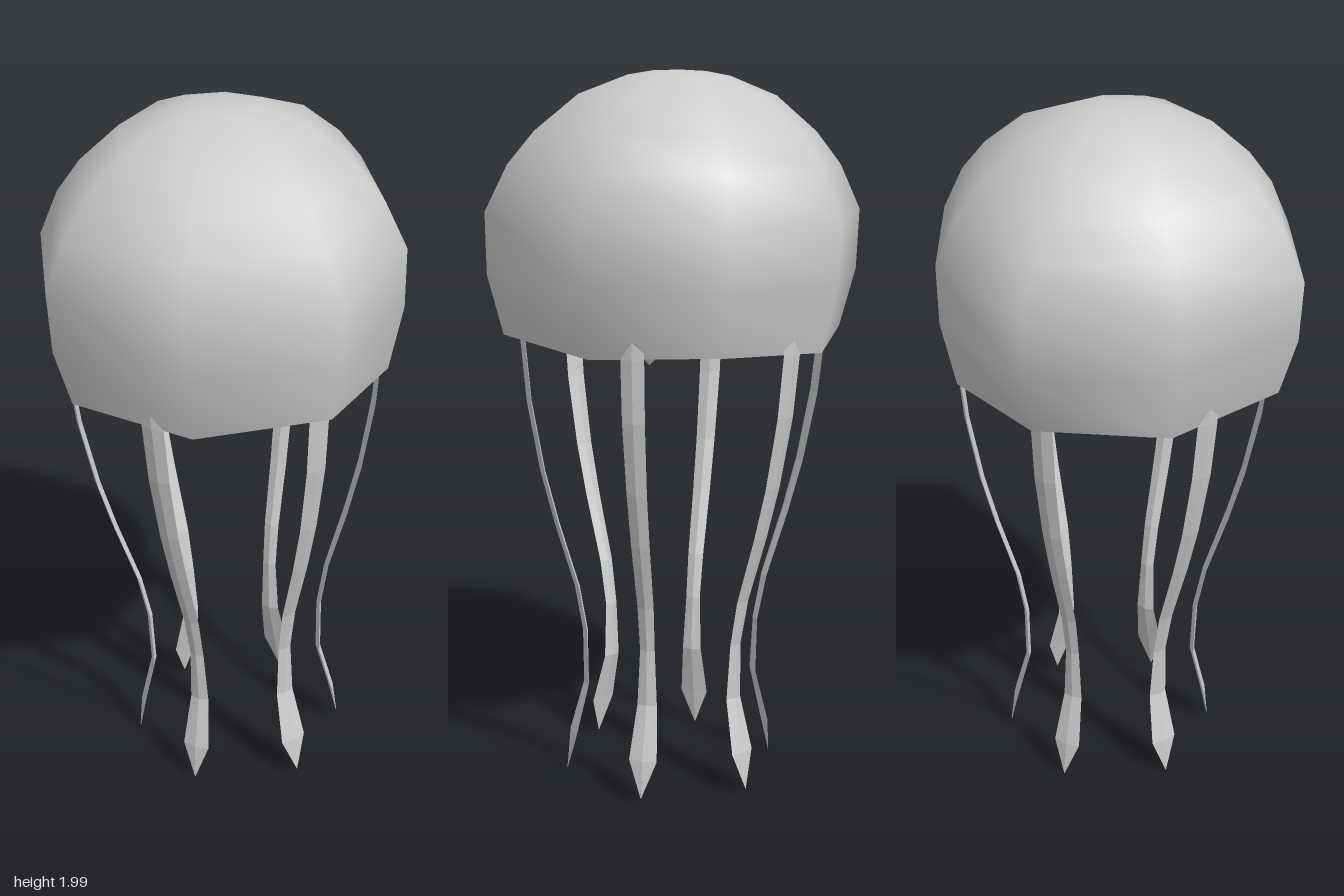
import * as THREE from 'three';
import { mergeVertices } from 'three/addons/utils/BufferGeometryUtils.js';

const vectors = (pts) => pts.map(([x, y]) => new THREE.Vector2(x, y));

// Eight-sided open bell; every other corner is pulled in and its rim hangs lower
function bellGeometry() {
  const profile = vectors([
    [0.485, 1.287], [0.53, 1.452], [0.535, 1.62], [0.474, 1.745],
    [0.4, 1.835], [0.28, 1.933], [0.145, 1.985], [0.075, 1.997], [0, 2],
  ]);
  let geo = new THREE.LatheGeometry(profile, 8);
  const p = geo.attributes.position;
  for (let i = 0; i < p.count; i++) {
    const ring = i % profile.length;
    const corner = Math.floor(i / profile.length);
    if (corner % 2 === 0) continue;
    p.setX(i, p.getX(i) * 0.93);
    p.setZ(i, p.getZ(i) * 0.93);
    if (ring === 0) p.setY(i, p.getY(i) - 0.022);
  }
  geo.deleteAttribute('uv');
  geo.deleteAttribute('normal');
  geo = mergeVertices(geo, 1e-4);
  geo.computeVertexNormals();
  return geo;
}

// Thin ribbon of diamond section; rows are [height, distance from axis, half width]
function tentacleGeometry() {
  const rows = [
    [1.72, 0.4, 0.012], [1.62, 0.425, 0.024], [1.45, 0.437, 0.03], [1.27, 0.432, 0.032],
    [1.1, 0.415, 0.031], [0.9, 0.377, 0.028], [0.75, 0.337, 0.026], [0.56, 0.278, 0.023],
    [0.43, 0.254, 0.021], [0.27, 0.25, 0.028], [0.12, 0.288, 0.04], [0.015, 0.305, 0.001],
  ];
  const geo = new THREE.CylinderGeometry(1, 1, 1, 4, rows.length - 1, true);
  const p = geo.attributes.position;
  for (let i = 0; i < p.count; i++) {
    const [y, r, w] = rows[Math.floor(i / 5)];
    p.setXYZ(i, p.getX(i) * w, y, r + p.getZ(i) * Math.min(0.007, w));
  }
  const flat = geo.toNonIndexed();
  flat.computeVertexNormals();
  return flat;
}

export function createModel() {
  const model = new THREE.Group();
  model.name = 'jellyfish';
  const skin = new THREE.MeshStandardMaterial({ color: 0xcccccc, side: THREE.DoubleSide });
  skin.name = 'pale grey';

  // Slightly turned and tilted body
  const body = new THREE.Group();
  body.name = 'body';
  body.rotation.set(-0.025, 0, 0.025);
  body.position.set(0.0375, 0, 0.0375);
  const turned = new THREE.Group();
  turned.name = 'turnedBody';
  turned.rotation.y = -0.092;
  body.add(turned);
  model.add(body);

  const add = (geo, name) => {
    const mesh = new THREE.Mesh(geo, skin);
    mesh.name = name;
    turned.add(mesh);
    return mesh;
  };

  add(bellGeometry(), 'bell');

  // Six tentacles around the rim
  const ribbon = tentacleGeometry();
  for (let i = 0; i < 6; i++) {
    add(ribbon, 'tentacle').rotation.y = (i * Math.PI) / 3;
  }

  // Small diamond specks floating under the bell
  const speck = new THREE.OctahedronGeometry(0.022);
  let seed = 7;
  const random = () => (seed = (seed * 16807) % 2147483647) / 2147483647;
  const spots = [[0.02, 1.215, 0.08], [-0.2, 1.258, -0.03]];
  for (let i = 0; i < 20; i++) {
    const angle = i * 2.4;
    const r = 0.36 * Math.sqrt((i + 0.5) / 20);
    spots.push([r * Math.cos(angle), 1.3 + 0.4 * random(), r * Math.sin(angle)]);
  }
  for (const [x, y, z] of spots) {
    const mesh = add(speck, 'speck');
    mesh.position.set(x, y, z);
    mesh.rotation.y = random() * 3;
    mesh.scale.setScalar(0.7 + 0.4 * random());
  }
  return model;
}
